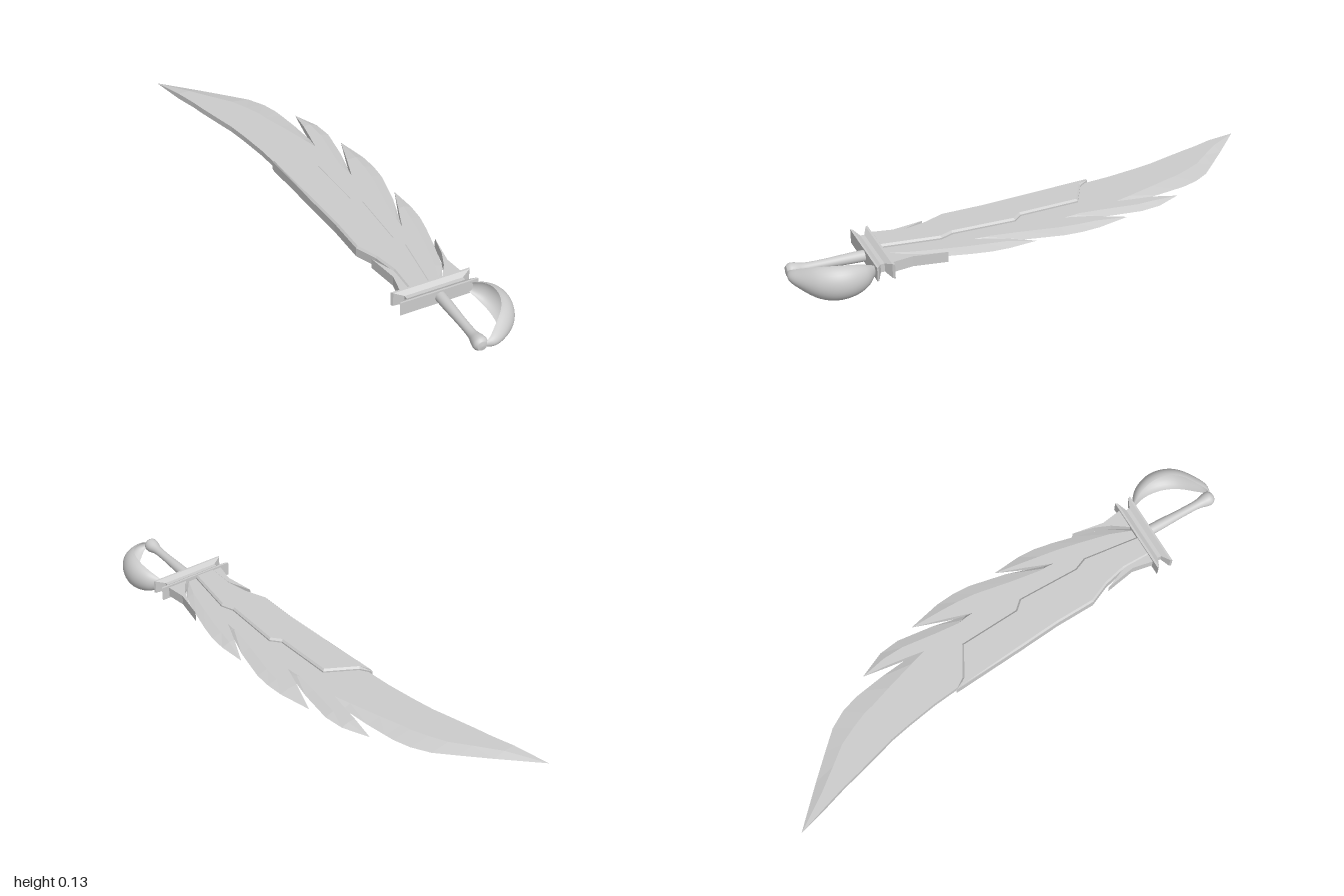
import * as THREE from 'three';
import { ParametricGeometry } from 'three/addons/geometries/ParametricGeometry.js';

const MID = 0.065; // height of the sword's middle plane

export function createModel() {
  const group = new THREE.Group();
  const flat = new THREE.MeshStandardMaterial({ color: 0xcccccc, flatShading: true });
  const smooth = new THREE.MeshStandardMaterial({ color: 0xcccccc });
  const shell = new THREE.MeshStandardMaterial({ color: 0xcccccc, side: THREE.DoubleSide });

  function add(name, geometry, material) {
    const mesh = new THREE.Mesh(geometry, material);
    mesh.name = name;
    mesh.position.y = MID;
    group.add(mesh);
    return mesh;
  }

  // Flat-faced solid through rings of [x, y], clockwise seen from +z, z increasing
  function loft(sections) {
    const pos = [];
    const tri = (...pts) => pts.forEach((p) => pos.push(...p));
    const rings = sections.map(({ z, ring }) => ring.map(([x, y]) => [x, y, z]));
    const n = rings[0].length;
    for (let i = 0; i < rings.length - 1; i++) {
      for (let j = 0; j < n; j++) {
        const k = (j + 1) % n;
        const a = rings[i][j], b = rings[i][k], c = rings[i + 1][j], d = rings[i + 1][k];
        tri(a, c, b);
        tri(b, c, d);
      }
    }
    const first = rings[0], last = rings[rings.length - 1];
    for (let j = 1; j < n - 1; j++) {
      tri(first[0], first[j], first[j + 1]);
      tri(last[0], last[j + 1], last[j]);
    }
    const g = new THREE.BufferGeometry();
    g.setAttribute('position', new THREE.Float32BufferAttribute(pos, 3));
    g.computeVertexNormals();
    return g;
  }

  // Blade section rows: z, blunt back x, ridge x, sharp edge x; the first row is the point
  function bladeLoft(rows) {
    return loft(rows.map(([z, back, ridge, edge], i) => {
      const h = i === 0 ? 0 : 0.012;
      return { z, ring: [[back, h], [ridge, h], [edge, 0], [ridge, -h], [back, -h]] };
    }));
  }

  // Outline of [x, z] points, extruded evenly about the middle plane
  function slab(points, half, bevel) {
    const shape = new THREE.Shape(points.map(([x, z]) => new THREE.Vector2(x, z)));
    const g = new THREE.ExtrudeGeometry(shape, {
      depth: 2 * (half - bevel), bevelEnabled: bevel > 0, bevelSegments: 1,
      bevelThickness: bevel, bevelSize: bevel, bevelOffset: -bevel,
    });
    g.translate(0, 0, bevel - half);
    g.rotateX(Math.PI / 2);
    return g;
  }

  // Curved main blade
  add('blade', bladeLoft([
    [-1, -0.29, -0.29, -0.29],
    [-0.87, -0.247, -0.2, -0.152],
    [-0.785, -0.218, -0.13, -0.065],
    [-0.72, -0.2, -0.075, 0],
    [-0.655, -0.18, -0.04, 0.04],
    [-0.59, -0.16, -0.01, 0.063],
    [-0.553, -0.148, 0, 0.07],
    [-0.47, -0.13, 0.03, 0.085],
    [-0.35, -0.108, 0.07, 0.1],
    [-0.257, -0.097, 0.1, 0.11],
    [-0.08, -0.082, 0.13, 0.14],
    [0.03, -0.074, 0.14, 0.145],
    [0.28, -0.056, 0.155, 0.165],
    [0.36, -0.053, 0.15, 0.16],
    [0.44, -0.02, 0.14, 0.15],
    [0.53, 0, 0.13, 0.14],
    [0.64, 0, 0.12, 0.13],
  ]), flat);

  // Three feather-like barbs along the cutting edge
  const barbs = [
    [[-0.53, 0.12, 0.12, 0.12], [-0.43, 0.11, 0.14, 0.168], [-0.35, 0.1, 0.145, 0.18],
      [-0.21, 0.08, 0.13, 0.165], [-0.08, 0.08, 0.12, 0.14]],
    [[-0.28, 0.2, 0.2, 0.2], [-0.15, 0.161, 0.2, 0.233], [-0.08, 0.14, 0.2, 0.24],
      [-0.01, 0.12, 0.195, 0.238], [0.135, 0.11, 0.17, 0.21], [0.28, 0.11, 0.15, 0.165]],
    [[0.1, 0.235, 0.235, 0.235], [0.21, 0.192, 0.215, 0.247], [0.28, 0.165, 0.205, 0.245],
      [0.35, 0.14, 0.195, 0.233], [0.45, 0.12, 0.175, 0.21], [0.56, 0.1, 0.15, 0.18],
      [0.64, 0.09, 0.12, 0.135]],
  ];
  barbs.forEach((rows, i) => add(`bladeBarb${i + 1}`, bladeLoft(rows), flat));

  // Thick stepped plate along the back of the blade
  add('spinePlate', slab([
    [-0.104, -0.257], [-0.075, -0.215], [0.042, -0.15], [0.058, 0.09], [0.09, 0.125],
    [0.09, 0.37], [0.111, 0.42], [0.085, 0.645], [0, 0.645], [0, 0.53], [-0.022, 0.44],
    [-0.058, 0.36], [-0.064, 0.2], [-0.08, 0.03],
  ], 0.025, 0.007), flat);

  // Small spikes hugging the base of the blade
  add('leftBaseSpike', slab([
    [0.22, 0.435], [0.2, 0.56], [0.213, 0.645], [0.13, 0.645], [0.175, 0.58], [0.2, 0.52],
  ], 0.02, 0), flat);
  add('rightBaseSpike', slab([
    [-0.038, 0.44], [0, 0.53], [0.01, 0.645], [-0.032, 0.645], [-0.016, 0.56],
  ], 0.02, 0), flat);

  // Crossguard, pinched between two flared flanges
  const guard = [[0.64, 0.156, 0.028], [0.648, 0.15, 0.028], [0.665, 0.115, 0.016],
    [0.68, 0.115, 0.016], [0.698, 0.15, 0.027], [0.705, 0.154, 0.027]];
  add('crossguard', loft(guard.map(([z, w, h]) => (
    { z, ring: [[-w, h], [w, h], [w, -h], [-w, -h]] }
  ))), flat).position.x = 0.088;

  // Waisted grip with a rounded pommel
  const grip = new THREE.SplineCurve([
    [0.021, 0.7], [0.02, 0.76], [0.017, 0.85], [0.018, 0.92],
    [0.026, 0.955], [0.027, 0.975], [0.018, 0.988],
  ].map(([r, z]) => new THREE.Vector2(r, z))).getPoints(24);
  grip.push(new THREE.Vector2(0, 0.99));
  add('grip', new THREE.LatheGeometry(grip, 24).rotateX(Math.PI / 2), smooth).position.x = 0.092;

  // Cupped knuckle guard: a curved shell between its crest and its two rims
  const curve = (pts) => new THREE.CatmullRomCurve3(pts.map((p) => new THREE.Vector3(...p)));
  const crest = curve([[0.215, 0, 0.7], [0.262, 0, 0.74], [0.288, 0, 0.8], [0.286, 0, 0.86],
    [0.257, 0, 0.92], [0.195, 0, 0.972], [0.14, 0, 0.995], [0.095, 0, 0.985]]);
  const rim = curve([[0.205, 0.018, 0.703], [0.23, 0.045, 0.75], [0.24, 0.06, 0.8],
    [0.232, 0.065, 0.86], [0.205, 0.058, 0.91], [0.155, 0.036, 0.955],
    [0.12, 0.018, 0.98], [0.09, 0, 0.985]]);
  add('knuckleGuard', new ParametricGeometry((u, v, target) => {
    const t = Math.min(u, 1), angle = (v - 0.5) * Math.PI;
    const c = crest.getPoint(t), r = rim.getPoint(t), k = Math.cos(angle);
    target.set(r.x + (c.x - r.x) * k, r.y * Math.sin(angle), r.z + (c.z - r.z) * k);
  }, 32, 16), shell);

  return group;
}
